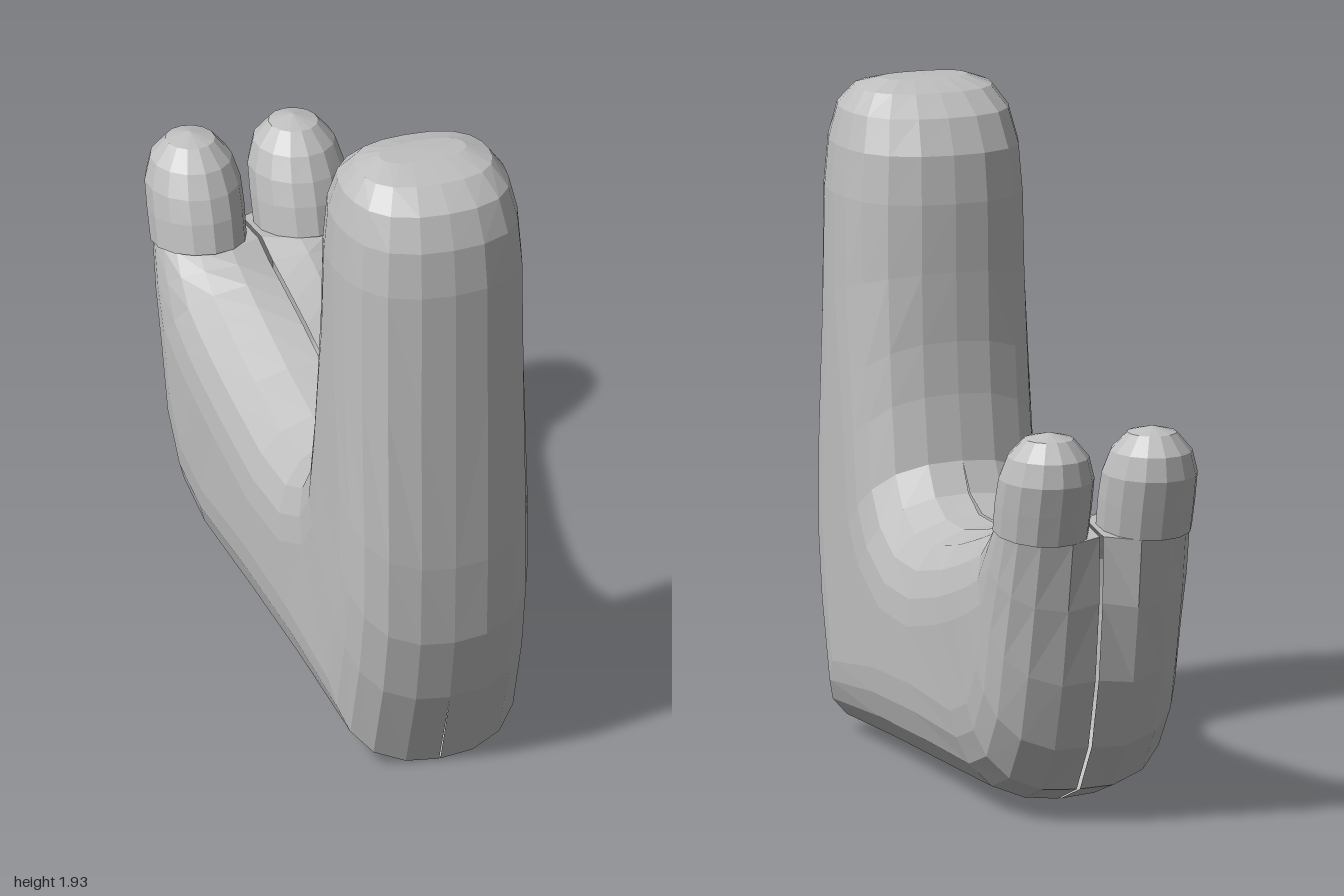
import * as THREE from 'three';

const grey = new THREE.MeshStandardMaterial({ color: 0xbfbfbf, flatShading: true, side: THREE.DoubleSide });
grey.name = 'plain grey';

// Skins a list of rings (equal point counts) and fans both ends to a point; side = -1 mirrors it in x.
function loft(rings, startPoint, endPoint, side) {
  const n = rings[0].length;
  const pos = [...rings.flat(), startPoint, endPoint].flatMap(p => [p[0] * side, p[1], p[2]]);
  const start = rings.length * n, end = start + 1;
  const index = [];
  const tri = (a, b, c) => (side > 0 ? index.push(a, b, c) : index.push(a, c, b));
  for (let i = 0; i < rings.length - 1; i++) {
    for (let j = 0; j < n - 1; j++) {
      const a = i * n + j, b = a + 1;
      tri(a, b, b + n);
      tri(a, b + n, a + n);
    }
  }
  for (let j = 0; j < n - 1; j++) {
    tri(start, j + 1, j);
    tri(end, start - n + j, start - n + j + 1);
  }
  const geo = new THREE.BufferGeometry();
  geo.setAttribute('position', new THREE.Float32BufferAttribute(pos, 3));
  geo.setIndex(index);
  const flat = geo.toNonIndexed();
  flat.computeVertexNormals();
  return flat;
}

// Rounded edge of a section: [share of half width, depth from the edge]
const EDGE = [[0, 0], [0.36, 0.01], [0.68, 0.05], [0.88, 0.12], [0.97, 0.2], [1, 0.28]];

// Open half section from the outer curve (bz, by) round the flank to the inner curve (tz, ty)
function bodyRing([bz, by, tz, ty, width, crease, gap]) {
  const len = Math.hypot(tz - bz, ty - by);
  const scale = Math.min(1, len / 0.58);
  const half = EDGE.map(([fx, depth]) => {
    const x = Math.max(gap, fx * width);
    const inset = crease * Math.max(0, 1 - x / 0.15) ** 2;
    return [x, Math.min(0.5, (depth * scale + inset) / len)];
  });
  const all = [...half, ...half.slice().reverse().map(([x, s]) => [x, 1 - s])];
  return all.map(([x, s]) => [x, by + (ty - by) * s, bz + (tz - bz) * s]);
}

// Stations from the toe base, round the heel and the chin, up the column:
// outer z, outer y, inner z, inner y, half width, seam crease, seam gap
const BODY = [
  [-0.94, 0.86, -0.64, 0.9, 0.29, 0.07, 0.005],
  [-0.9, 0.65, -0.58, 0.887, 0.297, 0.04, 0.005],
  [-0.85, 0.42, -0.5, 0.867, 0.3, 0.025, 0.005],
  [-0.78, 0.22, -0.41, 0.842, 0.3, 0.015, 0.005],
  [-0.67, 0.085, -0.31, 0.813, 0.298, 0.005, 0.005],
  [-0.5, 0.03, -0.16, 0.772, 0.293, 0, 0.005],
  [-0.05, 0.015, 0.05, 0.732, 0.288, 0, 0.005],
  [0.4, 0.008, 0.2, 0.732, 0.285, 0, 0.005],
  [0.86, 0, 0.3, 0.775, 0.282, 0, 0.002],
  [0.95, 0.25, 0.36, 0.86, 0.282, 0, 0],
  [0.99, 0.45, 0.395, 1.05, 0.28, 0, 0],
  [1, 0.7, 0.41, 1.2, 0.28, 0, 0],
  [1, 1.2, 0.417, 1.4, 0.28, 0, 0],
  [1, 1.6, 0.42, 1.6, 0.278, 0, 0],
  [0.985, 1.74, 0.435, 1.74, 0.267, 0, 0],
  [0.945, 1.84, 0.485, 1.84, 0.243, 0, 0],
  [0.87, 1.9, 0.56, 1.9, 0.2, 0, 0],
  [0.77, 1.926, 0.65, 1.926, 0.13, 0, 0],
];

// Toe rings: back z, back y, front z, front y, half width
const TOE = [
  [-0.945, 0.86, -0.638, 0.9, 0.138],
  [-0.972, 0.95, -0.662, 0.985, 0.14],
  [-0.998, 1.04, -0.69, 1.05, 0.138],
  [-0.988, 1.11, -0.73, 1.115, 0.118],
  [-0.94, 1.165, -0.79, 1.167, 0.072],
];

function toeRing([bz, by, fz, fy, width], sides = 14) {
  const ring = [];
  for (let j = 0; j <= sides; j++) {
    const a = (j / sides) * Math.PI * 2;
    const s = 0.5 - 0.5 * Math.cos(a);
    ring.push([0.157 + width * Math.sin(a), fy + (by - fy) * s, fz + (bz - fz) * s]);
  }
  return ring;
}

export function createModel() {
  const model = new THREE.Group();
  model.name = 'bentFigure';
  for (const [side, label] of [[1, 'left'], [-1, 'right']]) {
    // Half of the column and lower body
    const body = new THREE.Mesh(loft(BODY.map(bodyRing), [0.005, 0.88, -0.79], [0, 1.93, 0.71], side), grey);
    body.name = label + 'BodyHalf';
    // Rounded toe at the back
    const toe = new THREE.Mesh(
      loft(TOE.map(r => toeRing(r)), [0.157, 0.88, -0.79], [0.157, 1.185, -0.868], side), grey);
    toe.name = label + 'Toe';
    model.add(body, toe);
  }
  return model;
}
